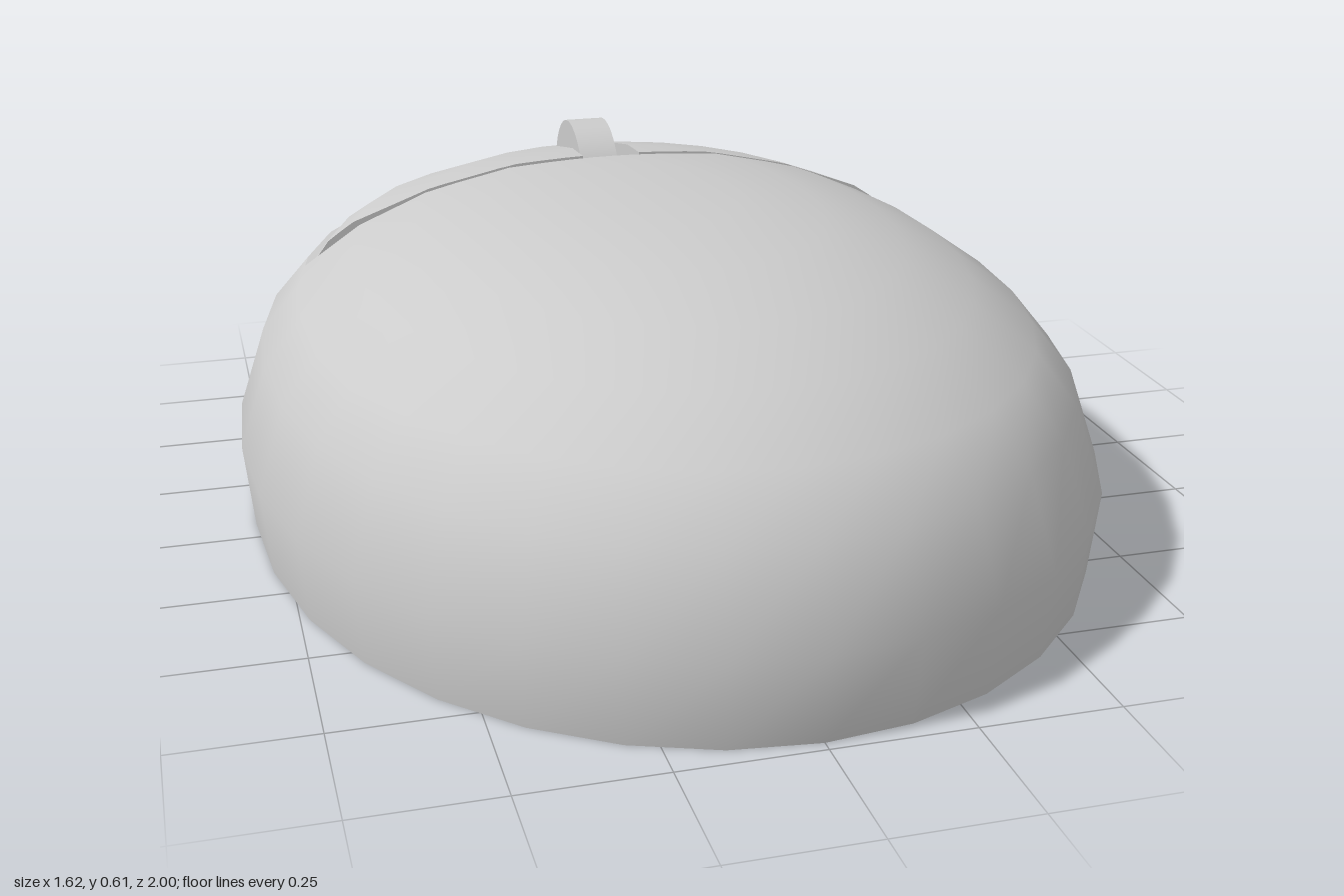
import * as THREE from 'three';

const SEG = 32, FLOOR = 0.41;
const material = new THREE.MeshStandardMaterial({ color: 0xcccccc });

// Shell rings from the foot to the crown: [radius, height]
const FOOT = [[0.98, 0], [1, 0.16], [0.935, 0.32], [0.845, FLOOR]];
const CROWN = [[0.71, 0.487], [0.56, 0.545], [0.385, 0.585], [0.195, 0.603], [0, 0.606]];
const BUTTON = [[0.825, FLOOR], [0.79, 0.45], [0.73, 0.487], ...CROWN.slice(1)];

// Egg-shaped plan: pushes the round plan toward the blunt end
const warp = (z) => z - 0.06 * Math.max(0, 1 - z) ** 4.5 * Math.max(0, 1 + z) ** 1.4;

// Smooth surface through the rings, returned as a list of triangles of { p, n }
function loft(rings) {
  const pos = [], index = [];
  for (const [r, y] of rings)
    for (let j = 0; j < SEG; j++) {
      const a = (j / SEG) * Math.PI * 2;
      pos.push(0.81 * r * Math.sin(a), y, warp(r * Math.cos(a)));
    }
  const id = (i, j) => i * SEG + (rings[i][0] === 0 ? 0 : j % SEG);
  for (let i = 0; i < rings.length - 1; i++)
    for (let j = 0; j < SEG; j++) {
      const a = id(i, j), b = id(i, j + 1), c = id(i + 1, j + 1), d = id(i + 1, j);
      if (a !== b) index.push(a, b, c);
      if (c !== d) index.push(a, c, d);
    }
  const g = new THREE.BufferGeometry();
  g.setAttribute('position', new THREE.Float32BufferAttribute(pos, 3));
  g.setIndex(index);
  g.computeVertexNormals();
  const vertex = (k) => ({
    p: new THREE.Vector3().fromBufferAttribute(g.attributes.position, k),
    n: new THREE.Vector3().fromBufferAttribute(g.attributes.normal, k),
  });
  const tris = [];
  for (let k = 0; k < index.length; k += 3) tris.push(index.slice(k, k + 3).map(vertex));
  return tris;
}

// Keeps the part where sign * axis > sign * at, and drops a wall from the cut to the floor
function cut(tris, axis, at, sign, wall = true) {
  const out = [];
  const normal = new THREE.Vector3();
  normal[axis] = -sign;
  const dist = (v) => sign * (v.p[axis] - at);
  for (const tri of tris) {
    const poly = [], edge = [];
    tri.forEach((v, k) => {
      const w = tri[(k + 1) % 3], dv = dist(v), dw = dist(w);
      if (dv >= 0) poly.push(v);
      if ((dv >= 0) !== (dw >= 0)) {
        const t = dv / (dv - dw);
        const m = { p: v.p.clone().lerp(w.p, t), n: v.n.clone().lerp(w.n, t).normalize() };
        poly.push(m);
        edge[dv >= 0 ? 0 : 1] = m.p;
      }
    });
    for (let k = 1; k < poly.length - 1; k++) out.push([poly[0], poly[k], poly[k + 1]]);
    if (wall && edge.length === 2) {
      const [a, b] = edge;
      const down = (p) => new THREE.Vector3(p.x, FLOOR, p.z);
      const [A, B, C, D] = [b, a, down(a), down(b)].map((p) => ({ p, n: normal }));
      out.push([A, B, C], [A, C, D]);
    }
  }
  return out;
}

function addMesh(group, name, tris) {
  const verts = tris.flat();
  const g = new THREE.BufferGeometry();
  const attr = (key) => new THREE.Float32BufferAttribute(verts.flatMap((v) => v[key].toArray()), 3);
  g.setAttribute('position', attr('p'));
  g.setAttribute('normal', attr('n'));
  const mesh = new THREE.Mesh(g, material);
  mesh.name = name;
  group.add(mesh);
}

export function createModel() {
  const group = new THREE.Group();
  group.name = 'computerMouse';

  // Shell: full lower band, upper dome cut away where the buttons sit
  const shell = loft([...FOOT, ...CROWN]);
  const bandCount = (FOOT.length - 1) * SEG * 2;
  addMesh(group, 'lowerShell', shell.slice(0, bandCount));
  addMesh(group, 'palmRest', cut(shell.slice(bandCount), 'z', -0.385, 1));
  addMesh(group, 'basePlate', loft([[0, 0], FOOT[0]]));

  // Recessed floor under the buttons
  addMesh(group, 'buttonFloor', cut(loft([FOOT[3], [0, FLOOR]]), 'z', -0.385, -1, false));

  // Two buttons with a slot between them
  const pad = cut(loft(BUTTON), 'z', -0.41, -1);
  addMesh(group, 'leftButton', cut(pad, 'x', 0.06, 1));
  addMesh(group, 'rightButton', cut(pad, 'x', -0.06, -1));

  // Scroll wheel in the slot
  const wheel = new THREE.Mesh(new THREE.CylinderGeometry(0.145, 0.145, 0.08, 32), material);
  wheel.name = 'scrollWheel';
  wheel.rotation.z = Math.PI / 2;
  wheel.position.set(0, 0.467, -0.633);
  group.add(wheel);

  return group;
}
